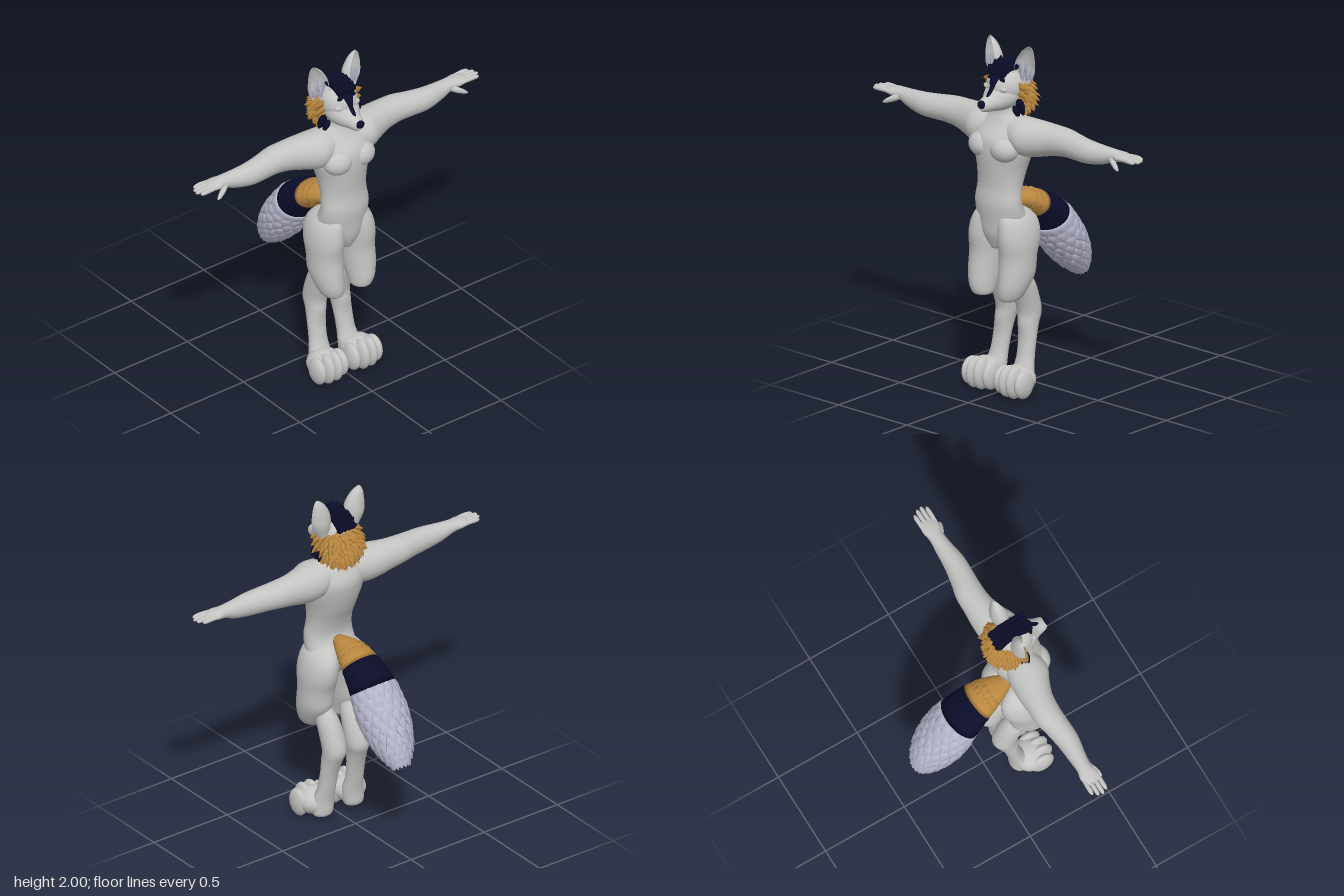
import * as THREE from 'three';
import { mergeGeometries } from 'three/addons/utils/BufferGeometryUtils.js';

const X = new THREE.Vector3(1, 0, 0), Y = new THREE.Vector3(0, 1, 0), Z = new THREE.Vector3(0, 0, 1);
const vec = (x, y, z) => new THREE.Vector3(x, y, z);

// Catmull-Rom through rows of [x, y, z, radiusU, radiusV]
function smoothRows(rows, n = 5) {
  const out = [], at = i => rows[Math.min(rows.length - 1, Math.max(0, i))];
  for (let i = 0; i < rows.length - 1; i++) for (let k = 0; k < n; k++) {
    const t = k / n, [p, a, b, q] = [at(i - 1), at(i), at(i + 1), at(i + 2)];
    out.push(a.map((v, c) => {
      const r = 0.5 * (2 * v + (b[c] - p[c]) * t + (2 * p[c] - 5 * v + 4 * b[c] - q[c]) * t * t
        + (3 * v - p[c] - 3 * b[c] + q[c]) * t * t * t);
      return c > 2 ? Math.max(0.001, r) : r;
    }));
  }
  out.push(rows[rows.length - 1]);
  return out;
}

const tangent = (rows, i) => {
  const a = rows[Math.max(0, i - 1)], b = rows[Math.min(rows.length - 1, i + 1)];
  return vec(b[0] - a[0], b[1] - a[1], b[2] - a[2]).normalize();
};

// Elliptical rings joined along rows; without V the rings follow the path
function loft(rows, U, V, arc) {
  const seg = 28, pos = [], idx = [], n = rows.length, cols = arc ? seg + 1 : seg;
  const [a0, a1] = arc || [0, Math.PI * 2];
  rows.forEach((r, i) => {
    const W = V || tangent(rows, i).cross(U);
    for (let j = 0; j < cols; j++) {
      const a = a0 + (a1 - a0) * j / seg;
      const p = vec(r[0], r[1], r[2]).addScaledVector(U, r[3] * Math.cos(a)).addScaledVector(W, r[4] * Math.sin(a));
      pos.push(p.x, p.y, p.z);
    }
  });
  const end = rows[n - 1], along = vec(end[0] - rows[0][0], end[1] - rows[0][1], end[2] - rows[0][2]);
  const flip = V && U.clone().cross(V).dot(along) < 0;
  const tri = (a, b, c) => flip ? idx.push(a, c, b) : idx.push(a, b, c);
  for (let i = 0; i < n - 1; i++) for (let j = 0; j < seg; j++) {
    const k = (j + 1) % cols, a = i * cols, b = a + cols;
    tri(a + j, a + k, b + j);
    tri(a + k, b + k, b + j);
  }
  if (!arc) {
    const c = pos.length / 3;
    pos.push(...rows[0].slice(0, 3), ...end.slice(0, 3));
    for (let j = 0; j < seg; j++) {
      const k = (j + 1) % seg;
      tri(c, k, j);
      tri(c + 1, (n - 1) * cols + j, (n - 1) * cols + k);
    }
  }
  const g = new THREE.BufferGeometry();
  g.setAttribute('position', new THREE.Float32BufferAttribute(pos, 3));
  g.setIndex(idx);
  g.computeVertexNormals();
  return g;
}

// One flat pointed lock of fur growing from base along dir
function lock(base, dir, normal, len, w, thick = 0.4) {
  const g = new THREE.LatheGeometry([[0, 0], [0.8, 0.12], [1, 0.4], [0.6, 0.75], [0, 1]]
    .map(([x, y]) => new THREE.Vector2(x * w, y * len)), 6);
  const y = dir.clone().normalize(), x = y.clone().cross(normal).normalize(), z = x.clone().cross(y);
  g.scale(1, 1, thick);
  return g.applyMatrix4(new THREE.Matrix4().makeBasis(x, y, z).setPosition(base));
}

export function createModel() {
  const model = new THREE.Group();
  model.name = 'foxFigure';
  const paint = (name, color) => { const m = new THREE.MeshStandardMaterial({ color }); m.name = name; return m; };
  const grey = paint('greyFur', 0xc4c4c2), navy = paint('navyFur', 0x0b0d2a);
  const tan = paint('tanFur', 0xb9873f), lilac = paint('lilacFur', 0xb6b6cc);
  grey.side = THREE.DoubleSide;
  const add = (name, geo, mat) => {
    const m = new THREE.Mesh(geo, mat);
    m.name = name;
    model.add(m);
    return m;
  };
  const ball = (name, mat, p, r) => {
    const m = add(name, new THREE.SphereGeometry(1, 24, 16), mat);
    m.position.set(...p);
    m.scale.set(...r);
    return m;
  };
  let seed = 7;
  const rand = () => (seed = (seed * 16807) % 2147483647) / 2147483647;

  // Torso and neck: [y, z, half width, half depth]
  add('torso', loft(smoothRows([
    [0.84, 0.25, 0.03, 0.05], [0.92, 0.225, 0.115, 0.105], [1.0, 0.22, 0.15, 0.12], [1.1, 0.252, 0.15, 0.097],
    [1.2, 0.24, 0.14, 0.1], [1.3, 0.222, 0.15, 0.125], [1.4, 0.21, 0.175, 0.145], [1.48, 0.2, 0.18, 0.145],
    [1.55, 0.19, 0.16, 0.105], [1.59, 0.19, 0.11, 0.085], [1.63, 0.195, 0.075, 0.07], [1.72, 0.2, 0.07, 0.07],
  ].map(([y, z, w, d]) => [0, y, z, w, d])), X, Z), grey);

  // Head and muzzle
  ball('skull', grey, [0, 1.755, 0.19], [0.108, 0.1, 0.115]);
  add('muzzle', loft(smoothRows([
    [0, 1.715, 0.18, 0.1, 0.09], [0, 1.71, 0.24, 0.097, 0.085], [0, 1.7, 0.285, 0.08, 0.07],
    [0, 1.685, 0.33, 0.053, 0.048], [0, 1.68, 0.375, 0.04, 0.036], [0, 1.68, 0.395, 0.026, 0.024],
  ]), X, Y), grey);
  ball('nose', navy, [0, 1.69, 0.392], [0.026, 0.023, 0.019]);
  add('foreheadStripe', loft(smoothRows([
    [0, 1.85, 0.245, 0.045, 0.008], [0, 1.825, 0.278, 0.034, 0.008], [0, 1.795, 0.298, 0.024, 0.008],
    [0, 1.765, 0.308, 0.014, 0.008], [0, 1.737, 0.332, 0.012, 0.007], [0, 1.718, 0.352, 0.003, 0.004],
  ]), X), navy);

  for (const s of [1, -1]) {
    const side = s > 0 ? 'left' : 'right', U = vec(s, 0, 0);
    const mirror = rows => smoothRows(rows.map(r => [s * r[0], ...r.slice(1)]));

    // Face
    const eye = ball(side + 'Eyelid', grey, [s * 0.056, 1.758, 0.278], [0.027, 0.016, 0.017]);
    eye.rotation.z = s * 0.2;
    const brow = ball(side + 'Brow', navy, [s * 0.043, 1.814, 0.272], [0.021, 0.012, 0.009]);
    brow.rotation.set(-0.6, s * 0.3, -s * 0.3);

    // Cupped ear with inner tufts
    add(side + 'Ear', loft(mirror([
      [0.1, 1.77, 0.17, 0.04, 0.035], [0.113, 1.84, 0.17, 0.062, 0.05], [0.118, 1.9, 0.168, 0.06, 0.045],
      [0.128, 1.95, 0.165, 0.044, 0.033], [0.137, 1.98, 0.163, 0.026, 0.02], [0.144, 2.0, 0.162, 0.003, 0.003],
    ]), U, Z, [2.3, 6.15]), grey);
    const tufts = [];
    for (let k = 0; k < 7; k++) tufts.push(lock(
      vec(s * (0.082 + 0.011 * k), 1.795 + 0.006 * (k % 2), 0.155 + 0.01 * (k % 3)),
      vec(s * (k - 3) * 0.06, 1, 0.02), Z, 0.125 - 0.012 * Math.abs(k - 3), 0.015));
    add(side + 'EarTufts', mergeGeometries(tufts), lilac);

    // Cheek fur: tan above, navy below
    const upper = [], lower = [];
    for (let k = 0; k < 5; k++) {
      upper.push(lock(vec(s * 0.085, 1.775 - 0.018 * k, 0.2 - 0.015 * (k % 2)), vec(s, -0.2 - 0.1 * k, -0.1), Z, 0.085, 0.022));
      lower.push(lock(vec(s * (0.1 - 0.008 * k), 1.7 - 0.014 * k, 0.21 - 0.012 * (k % 3)),
        vec(s * (0.7 - 0.12 * k), -1, -0.1), Z, 0.085, 0.025, 0.7));
    }
    add(side + 'CheekFur', mergeGeometries(upper), tan);
    add(side + 'NeckFur', mergeGeometries(lower), navy);

    // Chest muscle
    ball(side + 'Pectoral', grey, [s * 0.076, 1.425, 0.29], [0.088, 0.075, 0.077]);

    // Arm: shoulder to palm
    add(side + 'Arm', loft(mirror([
      [0.05, 1.505, 0.19, 0.095, 0.09], [0.16, 1.493, 0.195, 0.108, 0.115], [0.25, 1.495, 0.175, 0.1, 0.098],
      [0.33, 1.502, 0.163, 0.088, 0.083], [0.42, 1.507, 0.16, 0.078, 0.078], [0.5, 1.505, 0.17, 0.072, 0.07],
      [0.6, 1.502, 0.18, 0.066, 0.062], [0.7, 1.507, 0.175, 0.053, 0.05], [0.78, 1.52, 0.17, 0.035, 0.042],
      [0.83, 1.524, 0.17, 0.026, 0.052], [0.875, 1.524, 0.17, 0.017, 0.047], [0.89, 1.524, 0.17, 0.008, 0.035],
    ]), Y, Z), grey);
    [0.945, 0.965, 0.97, 0.955].forEach((tip, k) => {
      const z = 0.13 + 0.027 * k;
      add(side + 'Finger' + (k + 1), loft(mirror([
        [0.84, 1.526, z, 0.01, 0.01], [0.9, 1.527, z, 0.013, 0.0125], [tip - 0.015, 1.525, z, 0.011, 0.011],
        [tip, 1.524, z, 0.003, 0.003],
      ]), Y, Z), grey);
    });
    add(side + 'Thumb', loft(mirror([
      [0.76, 1.512, 0.19, 0.015, 0.015], [0.8, 1.497, 0.212, 0.02, 0.019], [0.84, 1.478, 0.23, 0.014, 0.014],
      [0.86, 1.468, 0.237, 0.004, 0.004],
    ]), Y, Z), grey);

    // Thigh, ending in a rounded knee
    add(side + 'Thigh', loft(mirror([
      [0.09, 0.55, 0.27, 0.02, 0.03], [0.095, 0.565, 0.27, 0.058, 0.065], [0.105, 0.62, 0.255, 0.077, 0.092],
      [0.11, 0.7, 0.227, 0.09, 0.115], [0.108, 0.8, 0.215, 0.094, 0.118], [0.106, 0.9, 0.205, 0.096, 0.14],
      [0.095, 0.99, 0.203, 0.085, 0.135], [0.075, 1.05, 0.215, 0.06, 0.1], [0.06, 1.08, 0.22, 0.02, 0.04],
    ]), U, Z), grey);

    // Shin, hock and ankle
    add(side + 'LowerLeg', loft(mirror([
      [0.09, 0.69, 0.165, 0.035, 0.045], [0.085, 0.63, 0.15, 0.06, 0.07], [0.08, 0.55, 0.118, 0.067, 0.073],
      [0.078, 0.45, 0.09, 0.066, 0.071], [0.084, 0.38, 0.104, 0.058, 0.06], [0.09, 0.3, 0.118, 0.056, 0.044],
      [0.095, 0.2, 0.138, 0.055, 0.044], [0.1, 0.12, 0.16, 0.065, 0.052], [0.105, 0.04, 0.16, 0.06, 0.048],
      [0.105, 0.02, 0.165, 0.03, 0.025],
    ]), U, Z), grey);

    // Paw
    ball(side + 'Paw', grey, [s * 0.117, 0.095, 0.225], [0.1, 0.078, 0.1]);
    [0.042, 0.093, 0.145, 0.193].forEach((x, k) => {
      const mid = k === 1 || k === 2;
      ball(side + 'Toe' + (k + 1), grey, [s * x, mid ? 0.09 : 0.085, mid ? 0.28 : 0.262], [0.034, mid ? 0.09 : 0.08, 0.07]);
    });
  }

  // Crest of spiky locks over the head
  const crest = [];
  for (let k = 0; k < 13; k++) for (const x of [-0.036, -0.013, 0.013, 0.036]) {
    const a = -0.75 + 1.8 * k / 12, n = vec(x * 5, Math.cos(a), -Math.sin(a));
    crest.push(lock(vec(x, 1.755 + 0.088 * Math.cos(a), 0.19 - 0.1 * Math.sin(a)),
      n.clone().add(vec(0, 0.25, -0.35 + rand() * 0.3)), Z, 0.055 + 0.02 * rand(), 0.022, 0.8));
  }
  add('headCrest', mergeGeometries(crest), navy);

  // Shaggy mane behind the head
  ball('maneCore', tan, [0, 1.7, 0.135], [0.112, 0.108, 0.09]);
  const mane = [];
  for (let k = 0; k < 230; k++) {
    const y = 1 - 2 * (k + 0.5) / 230, a = k * 2.39996, r = Math.sqrt(1 - y * y);
    const n = vec(r * Math.cos(a), y, r * Math.sin(a));
    if (n.z > 0.45 || n.y > 0.88) continue;
    const dir = n.clone().multiplyScalar(0.5).add(vec((rand() - 0.5) * 0.5, -0.55, -0.15));
    mane.push(lock(vec(n.x * 0.108, 1.705 + n.y * 0.105, 0.135 + n.z * 0.085), dir, n, 0.05 + 0.02 * rand(), 0.016, 0.6));
  }
  add('mane', mergeGeometries(mane), tan);

  // Tail in three colour bands, with overlapping locks
  const tail = smoothRows([
    [0, 1.085, 0.16, 0.035, 0.03], [0, 1.07, 0.07, 0.08, 0.055], [0, 1.03, -0.02, 0.11, 0.075],
    [0, 0.94, -0.135, 0.135, 0.107], [0, 0.82, -0.225, 0.15, 0.12], [0, 0.71, -0.305, 0.125, 0.105],
    [0, 0.62, -0.365, 0.075, 0.06], [0, 0.56, -0.4, 0.008, 0.008],
  ], 6);
  [['tailBase', tan, 0, 13], ['tailBand', navy, 13, 19], ['tailEnd', lilac, 19, 42]].forEach(([name, mat, from, to]) => {
    add(name, loft(tail.slice(from, to + 1), X), mat);
    const locks = [], big = mat === lilac;
    for (let i = from + (from ? 0 : 7); i < to - 3; i += 2) for (let j = 0; j < 14; j++) {
      const a = (j + (i % 4) / 4 + rand() * 0.3) / 14 * Math.PI * 2, T = tangent(tail, i), r = tail[i];
      const n = X.clone().multiplyScalar(Math.cos(a)).addScaledVector(T.clone().cross(X), Math.sin(a));
      const base = vec(r[0], r[1], r[2]).addScaledVector(X, 0.95 * r[3] * Math.cos(a))
        .addScaledVector(T.clone().cross(X), 0.95 * r[4] * Math.sin(a));
      const lean = (tail[i + 3][3] - r[3]) * 4;
      locks.push(lock(base, T.addScaledVector(n, 0.08 + lean), n, big ? 0.085 : 0.045, big ? 0.032 : 0.025, 0.35));
    }
    add(name + 'Fur', mergeGeometries(locks), mat);
  });

  return model;
}
